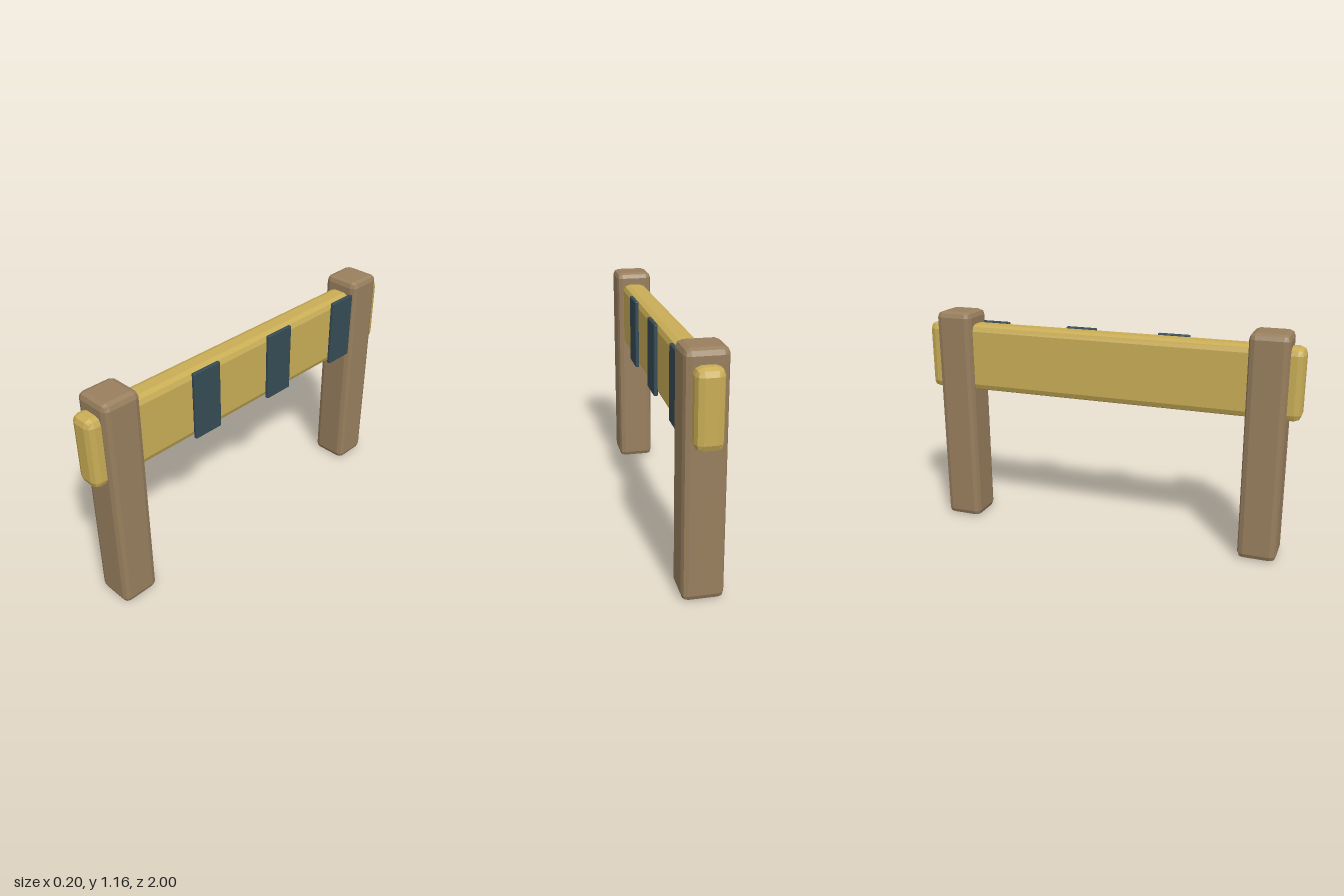
import * as THREE from 'three';

// Box with two-step rounded edges and flat facets
function bevelBox(w, h, d, r) {
  const box = new THREE.BoxGeometry(1, 1, 1, 3, 3, 3);
  const p = box.attributes.position;
  const inner = new THREE.Vector3(w / 2 - r, h / 2 - r, d / 2 - r);
  const v = new THREE.Vector3();
  const out = new THREE.Vector3();
  for (let i = 0; i < p.count; i++) {
    v.fromBufferAttribute(p, i);
    // Outer grid lines get pushed out, inner ones mark the flat area
    for (const a of ['x', 'y', 'z']) out[a] = Math.abs(v[a]) > 0.4 ? Math.sign(v[a]) : 0;
    out.normalize().multiplyScalar(r);
    for (const a of ['x', 'y', 'z']) out[a] += Math.sign(v[a]) * inner[a];
    p.setXYZ(i, out.x, out.y, out.z);
  }
  const flat = box.toNonIndexed();
  flat.computeVertexNormals();
  return flat;
}

export function createModel() {
  const model = new THREE.Group();
  const wood = new THREE.MeshStandardMaterial({ color: 0x987f5e });
  const yellow = new THREE.MeshStandardMaterial({ color: 0xc9ad56 });
  const slate = new THREE.MeshStandardMaterial({ color: 0x364b55 });
  wood.name = 'brown wood';
  yellow.name = 'yellow paint';
  slate.name = 'dark slate paint';

  const add = (name, geometry, material, x, y, z) => {
    const mesh = new THREE.Mesh(geometry, material);
    mesh.name = name;
    mesh.position.set(x, y, z);
    model.add(mesh);
  };

  // Upright posts
  const post = bevelBox(0.198, 1.165, 0.197, 0.03);
  add('frontPost', post, wood, 0, 0.5825, 0.834);
  add('backPost', post, wood, 0, 0.5825, -0.834);

  // Horizontal board running through both posts
  add('crossBoard', bevelBox(0.13, 0.36, 2, 0.035), yellow, 0, 0.919, 0);

  // Raised stripes on the left face of the board
  const stripe = bevelBox(0.02, 0.362, 0.166, 0.005);
  for (let i = 0; i < 3; i++) {
    add('stripe' + (i + 1), stripe, slate, 0.074, 0.919, 0.334 - i * 0.5);
  }
  return model;
}
